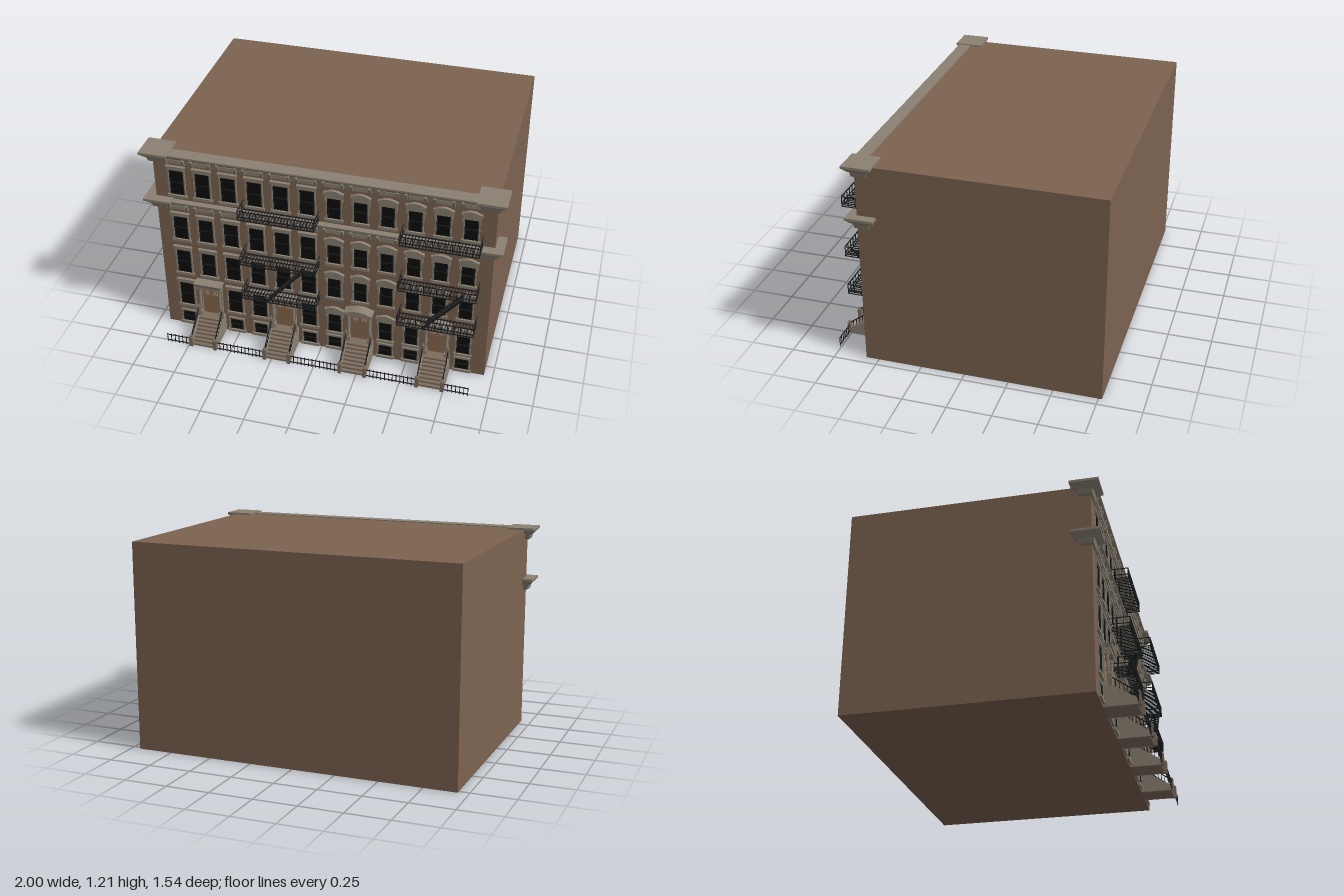
import * as THREE from 'three';
import { mergeGeometries } from 'three/addons/utils/BufferGeometryUtils.js';

const mat = (name, color) => {
  const m = new THREE.MeshStandardMaterial({ color });
  m.name = name;
  return m;
};
const WALL = 0.575; // z of the street facade

// Geometry helpers: ranges instead of centres keep the layout readable
function box(x0, x1, y0, y1, z0, z1) {
  return new THREE.BoxGeometry(x1 - x0, y1 - y0, z1 - z0)
    .translate((x0 + x1) / 2, (y0 + y1) / 2, (z0 + z1) / 2);
}
function bar(a, b, t) {
  const A = new THREE.Vector3(...a), B = new THREE.Vector3(...b), d = B.clone().sub(A);
  const g = new THREE.BoxGeometry(t, d.length(), t);
  g.applyQuaternion(new THREE.Quaternion().setFromUnitVectors(new THREE.Vector3(0, 1, 0), d.normalize()));
  return g.translate(...A.add(B).multiplyScalar(0.5).toArray());
}
// Side profile in (z, y), extruded along x
function alongX(points, x0, x1) {
  const s = new THREE.Shape(points.map(([z, y]) => new THREE.Vector2(-z, y)));
  return new THREE.ExtrudeGeometry(s, { depth: x1 - x0, bevelEnabled: false })
    .rotateY(Math.PI / 2).translate(x0, 0, 0);
}
// Segmental hood with a bowed top
function hood(cx, y0, y1, w, z0, z1) {
  const h = y1 - y0, s = new THREE.Shape();
  s.moveTo(-w / 2, 0);
  s.lineTo(w / 2, 0);
  s.lineTo(w / 2, h * 0.45);
  s.lineTo(w * 0.4, h * 0.55);
  s.quadraticCurveTo(0, h * 1.45, -w * 0.4, h * 0.55);
  s.lineTo(-w / 2, h * 0.45);
  return new THREE.ExtrudeGeometry(s, { depth: z1 - z0, bevelEnabled: false, curveSegments: 8 })
    .translate(cx, y0, z0);
}
// Block whose underside is smaller than its top
function taper(x0, x1, y0, y1, z0, z1, inset) {
  const g = box(x0, x1, y0, y1, z0, z1), p = g.attributes.position, cx = (x0 + x1) / 2, cz = (z0 + z1) / 2;
  for (let i = 0; i < p.count; i++) {
    if (p.getY(i) < (y0 + y1) / 2) {
      p.setX(i, p.getX(i) - Math.sign(p.getX(i) - cx) * inset);
      p.setZ(i, p.getZ(i) - Math.sign(p.getZ(i) - cz) * inset);
    }
  }
  const flat = g.toNonIndexed();
  flat.computeVertexNormals();
  return flat;
}

export function createModel() {
  const group = new THREE.Group();
  const brick = mat('brownstone', 0x7d6351);
  const trim = mat('stoneTrim', 0x8b8173);
  const step = mat('stepStone', 0x7d6d5e);
  const door = mat('doorWood', 0x8a684f);
  const panel = mat('doorPanel', 0xa08a72);
  const glass = mat('darkGlass', 0x0c0d0e);
  const iron = mat('blackIron', 0x1c1e1f);
  const add = (name, geos, material) => {
    const mesh = new THREE.Mesh(mergeGeometries(geos.map(g => (g.index ? g.toNonIndexed() : g))), material);
    mesh.name = name;
    group.add(mesh);
  };

  // Main block
  add('buildingBlock', [box(-0.94, 0.95, 0, 1.195, -0.77, WALL)], brick);

  // Windows: twelve bays, flat lintels on the left half, bowed hoods on the right
  const bayX = i => -0.81 + i * 0.1482;
  const isDoor = i => i % 3 === 1;
  const panes = [], frames = [], lintels = [], sashes = [];
  function windowAt(x, y0, y1, w) {
    const h = w / 2, e = 0.008, m = (y0 + y1) / 2;
    panes.push(box(x - h, x + h, y0, y1, WALL, WALL + 0.003));
    for (const s of [-1, 1]) {
      frames.push(box(x + s * (h + e / 2) - e / 2, x + s * (h + e / 2) + e / 2, y0, y1, WALL, WALL + 0.009));
      sashes.push(box(x + s * (h - 0.004) - 0.002, x + s * (h - 0.004) + 0.002, y0, y1, WALL, WALL + 0.006));
    }
    sashes.push(box(x - h, x + h, m - 0.003, m + 0.003, WALL, WALL + 0.006));
    frames.push(box(x - h - 0.014, x + h + 0.014, y0 - 0.016, y0, WALL, WALL + 0.014));
  }
  const floors = [
    { flat: [0.153, 0.313], bowed: [0.137, 0.265] },
    { flat: [0.39, 0.55], bowed: [0.39, 0.522] },
    { flat: [0.63, 0.785], bowed: [0.63, 0.755] },
    { flat: [0.933, 1.093], bowed: [0.933, 1.065] },
  ];
  for (let i = 0; i < 12; i++) {
    const x = bayX(i);
    floors.forEach((f, level) => {
      if (level === 0 && isDoor(i)) return;
      if (i < 6) {
        const [y0, y1] = f.flat;
        windowAt(x, y0, y1, 0.084);
        lintels.push(box(x - 0.05, x + 0.05, y1, y1 + 0.018, WALL, WALL + 0.012),
          box(x - 0.055, x + 0.055, y1 + 0.018, y1 + 0.028, WALL, WALL + 0.018));
      } else {
        const [y0, y1] = f.bowed;
        windowAt(x, y0, y1, 0.074);
        lintels.push(hood(x, y1, y1 + 0.042, 0.1, WALL, WALL + 0.011),
          hood(x, y1 + 0.026, y1 + 0.054, 0.112, WALL, WALL + 0.018));
        for (const s of [-1, 1]) {
          lintels.push(box(x + s * 0.045 - 0.006, x + s * 0.045 + 0.006, y1 - 0.02, y1, WALL, WALL + 0.013));
        }
      }
    });
    if (!isDoor(i)) {
      windowAt(x, 0.022, 0.097, 0.078);
      lintels.push(box(x - 0.048, x + 0.048, 0.097, 0.109, WALL, WALL + 0.01));
    }
  }
  add('windowGlass', panes, glass);
  add('windowSashes', sashes, iron);
  add('windowFrames', frames, trim);
  add('windowLintels', lintels, trim);

  // Two cornices with corner blocks, frieze and brackets
  const cornice = [], brackets = [];
  for (const [top, back] of [[1.2, 0.535], [0.898, WALL - 0.01]]) {
    cornice.push(alongX([[back, top], [0.61, top], [0.61, top - 0.01], [0.59, top - 0.03],
      [0.585, top - 0.06], [back, top - 0.06]], -0.9, 0.9));
    for (const x of [-0.92, 0.92]) {
      cornice.push(box(x - 0.08, x + 0.08, top - 0.008, top + 0.006, 0.468, 0.628),
        taper(x - 0.078, x + 0.078, top - 0.035, top - 0.008, 0.47, 0.626, 0.025),
        taper(x - 0.05, x + 0.05, top - 0.064, top - 0.035, 0.502, 0.594, 0.007));
    }
    for (let i = 0; i < 12; i++) {
      const x = bayX(i);
      brackets.push(box(x - 0.038, x + 0.038, top - 0.056, top - 0.034, WALL, 0.593));
      for (const s of [-1, 1]) {
        const b = x + s * 0.0505;
        brackets.push(alongX([[WALL, top - 0.026], [0.606, top - 0.026], [0.593, top - 0.064], [WALL, top - 0.064]],
          b - 0.007, b + 0.007));
      }
    }
  }
  add('cornices', cornice, trim);
  add('corniceBrackets', brackets, trim);

  // Entrances: door, portal, stoop and railings
  const doors = [], panels = [], portals = [], steps = [], cheeks = [], newels = [], handrails = [];
  for (const i of [1, 4, 7, 10]) {
    const x = bayX(i), N = 8;
    doors.push(box(x - 0.052, x + 0.052, 0.115, 0.3, WALL, WALL + 0.006));
    for (const s of [-1, 1]) {
      const px = x + s * 0.024, cx = x + s * 0.06;
      panels.push(new THREE.CylinderGeometry(0.016, 0.016, 0.003, 12).rotateX(Math.PI / 2)
        .translate(px, 0.262, WALL + 0.0075));
      panels.push(box(px - 0.016, px + 0.016, 0.25, 0.262, WALL + 0.006, WALL + 0.009));
      // Portal columns and pilasters
      portals.push(new THREE.CylinderGeometry(0.007, 0.008, 0.18, 12).translate(cx, 0.215, 0.604),
        box(cx - 0.011, cx + 0.011, 0.115, 0.145, 0.593, 0.616),
        box(cx - 0.011, cx + 0.011, 0.3, 0.325, WALL, 0.616),
        box(cx - 0.009, cx + 0.009, 0.115, 0.3, WALL, 0.587));
      // Sloped cheek walls, newel posts and handrails
      const wx = x + s * 0.072;
      cheeks.push(alongX([[WALL, 0], [0.757, 0], [0.757, 0.03], [0.622, 0.118], [WALL, 0.118]], wx - 0.007, wx + 0.007));
      newels.push(box(wx - 0.01, wx + 0.01, 0, 0.062, 0.75, 0.77),
        box(wx - 0.012, wx + 0.012, 0.06, 0.067, 0.748, 0.77),
        new THREE.SphereGeometry(0.008, 8, 6).translate(wx, 0.072, 0.76),
        box(wx - 0.008, wx + 0.008, 0.115, 0.182, 0.608, 0.624),
        new THREE.ConeGeometry(0.009, 0.022, 8).translate(wx, 0.193, 0.616));
      handrails.push(bar([wx, 0.064, 0.76], [wx, 0.168, 0.616], 0.005));
      for (let k = 1; k < 7; k++) {
        const t = k / 7, z = 0.757 - t * 0.135;
        handrails.push(bar([wx, 0.03 + t * 0.088, z], [wx, 0.066 + t * 0.1, z], 0.003));
      }
    }
    for (let k = 0; k < N; k++) {
      const z = 0.757 - k * 0.017, y = (k + 1) * 0.0145;
      steps.push(box(x - 0.066, x + 0.066, 0, y - 0.004, WALL, z - 0.003),
        box(x - 0.066, x + 0.066, y - 0.004, y, WALL, z));
    }
    // Door head: flat entablature on the left, bowed pediment on the right
    portals.push(box(x - 0.052, x + 0.052, 0.3, 0.325, WALL, 0.59));
    if (i < 6) {
      portals.push(box(x - 0.074, x + 0.074, 0.318, 0.336, WALL, 0.622),
        taper(x - 0.082, x + 0.082, 0.336, 0.356, WALL - 0.02, 0.636, 0.007));
    } else {
      portals.push(hood(x, 0.305, 0.342, 0.145, WALL, 0.62), hood(x, 0.322, 0.355, 0.162, WALL, 0.636));
    }
  }
  add('doors', doors, door);
  add('doorPanels', panels, panel);
  add('doorPortals', portals, trim);
  add('stoopSteps', steps, step);
  add('stoopWalls', cheeks, trim);
  add('newelPosts', newels, step);
  add('stoopHandrails', handrails, iron);

  // Fire escapes: slatted balconies at three levels, with one stair
  const escape = [];
  for (const x0 of [-0.43, 0.46]) {
    const x1 = x0 + 0.425, zo = 0.687;
    for (const y of [0.362, 0.602, 0.907]) {
      for (const h of [0, 0.02, 0.057]) {
        escape.push(bar([x0, y + h, zo], [x1, y + h, zo], 0.005));
        for (const x of [x0, x1]) escape.push(bar([x, y + h, WALL], [x, y + h, zo], 0.004));
      }
      escape.push(bar([x0, y, WALL + 0.01], [x1, y, WALL + 0.01], 0.005));
      for (let k = 0; k <= 24; k++) {
        const x = x0 + k * (x1 - x0) / 24;
        escape.push(bar([x, y, WALL], [x, y, zo], 0.004));
        if (k % 2 === 0) escape.push(bar([x, y, zo], [x, y + 0.057, zo], 0.004));
      }
      for (const x of [x0, x1]) {
        for (const z of [0.61, 0.65]) escape.push(bar([x, y, z], [x, y + 0.057, z], 0.003));
      }
    }
    const sx = x0 + 0.145, run = 0.205;
    for (const z of [0.635, 0.682]) escape.push(bar([sx, 0.362, z], [sx + run, 0.602, z], 0.008));
    for (let k = 1; k < 12; k++) {
      const x = sx + run * k / 12, y = 0.362 + 0.24 * k / 12;
      escape.push(box(x - 0.008, x + 0.008, y - 0.002, y + 0.002, 0.635, 0.682));
    }
  }
  add('fireEscapes', escape, iron);

  // Street fence between the stoops
  const fence = [];
  const ends = [-0.88, ...[1, 4, 7, 10].flatMap(i => [bayX(i) - 0.08, bayX(i) + 0.08]), 0.89];
  for (let s = 0; s < ends.length; s += 2) {
    const a = ends[s], b = ends[s + 1], n = Math.round((b - a) / 0.022);
    for (const y of [0.012, 0.052]) fence.push(bar([a, y, 0.76], [b, y, 0.76], 0.004));
    for (let k = 0; k <= n; k++) {
      const x = a + (b - a) * k / n;
      fence.push(bar([x, 0, 0.76], [x, 0.06, 0.76], 0.0035));
    }
  }
  add('streetFence', fence, iron);
  return group;
}
